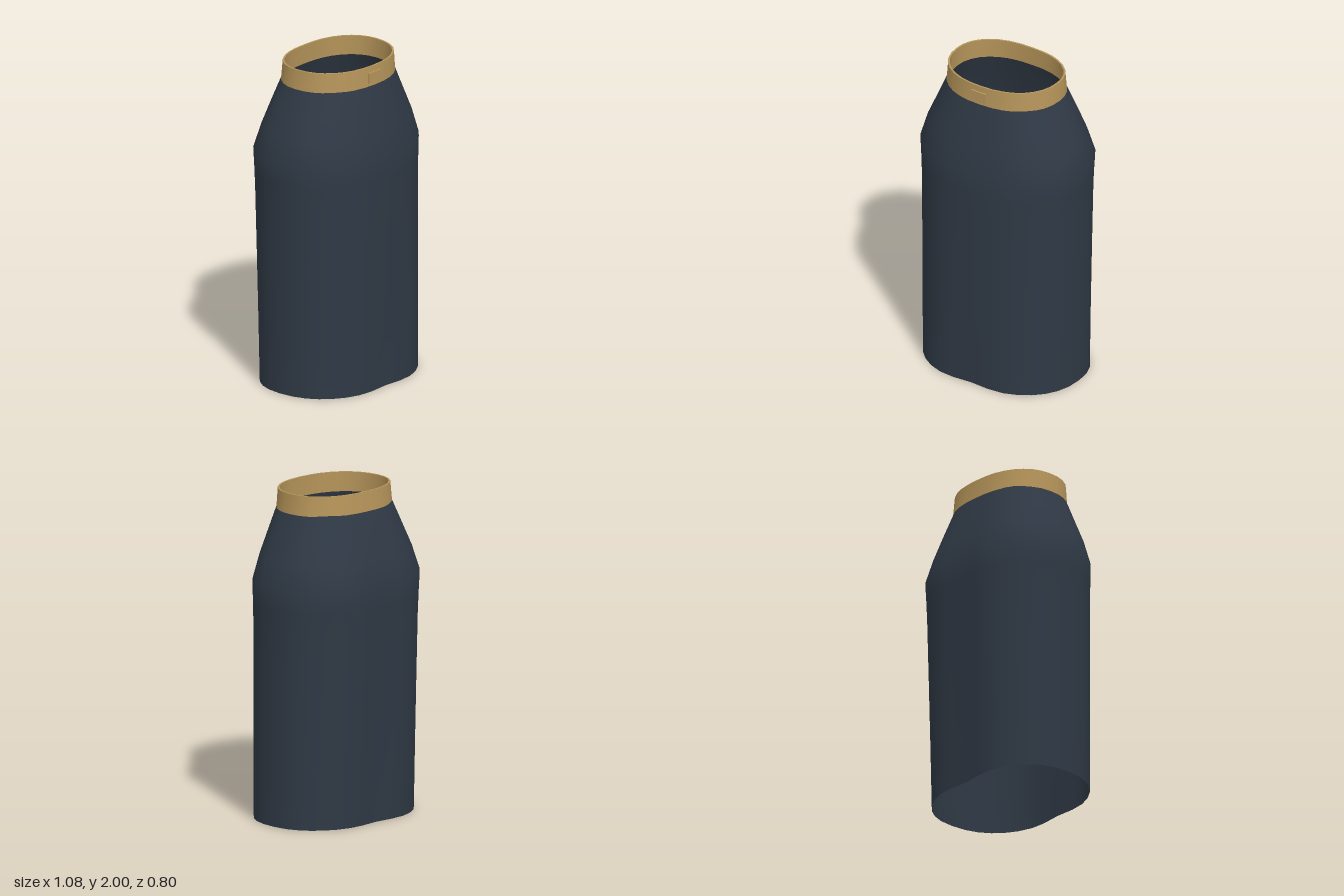
import * as THREE from 'three';
import { mergeGeometries } from 'three/addons/utils/BufferGeometryUtils.js';

const SEGMENTS = 32;

// One oval cross-section: half width, front and back depth, and the dip at each centre
function ring([y, a, front, back, dipFront, dipBack], power) {
  const points = [];
  for (let j = 0; j < SEGMENTS; j++) {
    const t = (j / SEGMENTS) * Math.PI * 2;
    const s = Math.sin(t), c = Math.cos(t), e = 2 / power;
    const x = a * Math.sign(s) * Math.abs(s) ** e;
    const dip = Math.exp(-((x / 0.15) ** 2));
    const depth = Math.abs(c) < 1e-6 ? 0 : Math.abs(c) ** e;
    const z = c >= 0
      ? front * depth - dipFront * dip * depth
      : -back * depth + dipBack * dip * depth;
    points.push(x, y, z);
  }
  return points;
}

// Smooth closed skin through a stack of cross-sections
function loft(sections, power) {
  const index = [];
  for (let i = 0; i < sections.length - 1; i++) {
    for (let j = 0; j < SEGMENTS; j++) {
      const k = (j + 1) % SEGMENTS;
      const a = i * SEGMENTS + j, b = i * SEGMENTS + k;
      index.push(a, b, b + SEGMENTS, a, b + SEGMENTS, a + SEGMENTS);
    }
  }
  const geometry = new THREE.BufferGeometry();
  const positions = sections.flatMap((s) => ring(s, power));
  geometry.setAttribute('position', new THREE.Float32BufferAttribute(positions, 3));
  geometry.setIndex(index);
  geometry.computeVertexNormals();
  return geometry;
}

export function createModel() {
  const group = new THREE.Group();
  const cloth = new THREE.MeshStandardMaterial({ color: 0x2f3945, side: THREE.DoubleSide });
  cloth.name = 'dark navy cloth';
  const gold = new THREE.MeshStandardMaterial({ color: 0xb6955a });
  gold.name = 'gold';

  const add = (name, geometry, material) => {
    const mesh = new THREE.Mesh(geometry, material);
    mesh.name = name;
    group.add(mesh);
    return mesh;
  };

  // Skirt body: wavy hem, straight sides, full hips, narrow waist
  add('skirtBody', loft([
    [0, 0.515, 0.412, 0.37, 0.03, 0.035],
    [0.4, 0.518, 0.41, 0.382, 0.022, 0.034],
    [0.8, 0.522, 0.407, 0.395, 0.014, 0.033],
    [1.2, 0.527, 0.403, 0.408, 0.005, 0.031],
    [1.32, 0.531, 0.402, 0.413, 0.002, 0.03],
    [1.45, 0.54, 0.4, 0.417, 0, 0.028],
    [1.6, 0.495, 0.366, 0.37, 0, 0.018],
    [1.75, 0.427, 0.332, 0.32, 0, 0.011],
    [1.89, 0.366, 0.297, 0.268, 0, 0.007],
  ], 2.3), cloth);

  // Waistband: a thin closed ring, with separate faces so its rims stay sharp
  const outerLow = [1.88, 0.374, 0.304, 0.274, 0.003, 0.006];
  const outerHigh = [2, 0.365, 0.298, 0.263, 0.003, 0.006];
  const innerHigh = [2, 0.354, 0.287, 0.252, 0.003, 0.006];
  const innerLow = [1.88, 0.358, 0.289, 0.259, 0.003, 0.006];
  const loop = [outerLow, outerHigh, innerHigh, innerLow];
  const faces = loop.map((s, i) => loft([s, loop[(i + 1) % 4]], 2.2));
  add('waistband', mergeGeometries(faces), gold);

  // Small plate on the front of the band
  const clasp = add('clasp', new THREE.BoxGeometry(0.105, 0.065, 0.016), gold);
  clasp.position.set(-0.003, 1.932, 0.298);

  return group;
}
